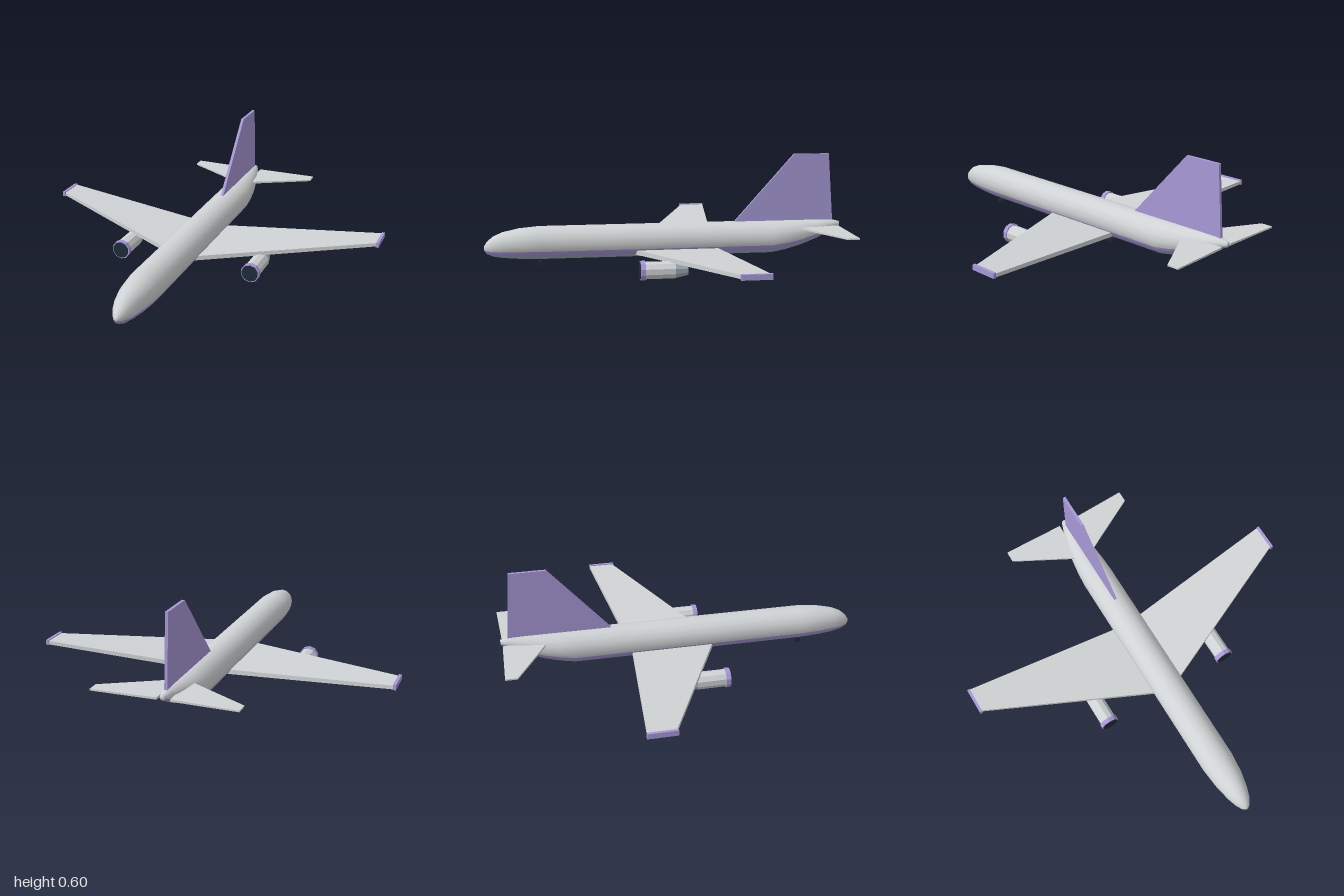
import * as THREE from 'three';
import { ConvexGeometry } from 'three/addons/geometries/ConvexGeometry.js';

function material(name, color, extra = {}) {
  const m = new THREE.MeshStandardMaterial({ color, ...extra });
  m.name = name;
  return m;
}

// Fuselage rings: z, bottom, top, half width
const RINGS = [
  [1.0, 0.1, 0.122, 0.008], [0.985, 0.08, 0.147, 0.026], [0.95, 0.065, 0.178, 0.046],
  [0.9, 0.056, 0.2, 0.063], [0.81, 0.049, 0.22, 0.082], [0.7, 0.045, 0.23, 0.093],
  [0.3, 0.045, 0.23, 0.093], [-0.1, 0.045, 0.23, 0.093], [-0.6, 0.045, 0.23, 0.093],
  [-0.68, 0.06, 0.23, 0.088], [-0.77, 0.085, 0.23, 0.077], [-0.87, 0.122, 0.23, 0.055],
  [-0.95, 0.162, 0.228, 0.032], [-1.0, 0.187, 0.216, 0.014],
];
const SIDES = 16;

function fuselageGeometry() {
  const pos = [];
  for (const [z, bottom, top, w] of RINGS) {
    for (let i = 0; i < SIDES; i++) {
      const a = (i / SIDES) * Math.PI * 2;
      pos.push(w * Math.cos(a), (top + bottom) / 2 + ((top - bottom) / 2) * Math.sin(a), z);
    }
  }
  const noseTip = pos.length / 3;
  pos.push(0, 0.111, 1.0);
  const tailTip = noseTip + 1;
  pos.push(0, 0.2, -1.0);

  // Columns: upper hull, side stripes, belly
  const columns = [[14, 15, 0, 1, 2, 3, 4, 5, 6, 7, 8, 9].filter(i => i !== 14 && i !== 9), [9, 14], [10, 11, 12, 13]];
  const geo = new THREE.BufferGeometry();
  const index = [];
  columns.forEach((cols, m) => {
    const start = index.length;
    for (const i of cols) {
      const j = (i + 1) % SIDES;
      for (let r = 0; r < RINGS.length - 1; r++) {
        const a = r * SIDES + i, b = r * SIDES + j;
        index.push(a, a + SIDES, b, b, a + SIDES, b + SIDES);
      }
    }
    if (m === 0) {
      const last = (RINGS.length - 1) * SIDES;
      for (let i = 0; i < SIDES; i++) {
        const j = (i + 1) % SIDES;
        index.push(noseTip, i, j, tailTip, last + j, last + i);
      }
    }
    geo.addGroup(start, index.length - start, m);
  });
  geo.setAttribute('position', new THREE.Float32BufferAttribute(pos, 3));
  geo.setIndex(index);
  geo.computeVertexNormals();
  return geo;
}

// Tapered slab between two sections: [x, zFront, zBack, yBottom, yTop]
function slab(side, ...sections) {
  const pts = [];
  for (const [x, zf, zb, y0, y1] of sections)
    for (const z of [zf, zb]) for (const y of [y0, y1]) pts.push(new THREE.Vector3(side * x, y, z));
  return new ConvexGeometry(pts);
}

export function createModel() {
  const model = new THREE.Group();
  model.name = 'airliner';
  const hull = material('light grey', 0xd0d3d5);
  const purple = material('lavender', 0xa798d6);
  const steel = material('blue grey', 0xa3adba);
  const intake = material('dark navy', 0x1f2c3a);
  const rubber = material('tyre black', 0x22262e);

  const add = (name, geo, mat, parent = model) => {
    const mesh = new THREE.Mesh(geo, mat);
    mesh.name = name;
    parent.add(mesh);
    return mesh;
  };

  add('fuselage', fuselageGeometry(), [hull, purple, steel]);

  // Tail fin
  const finShape = new THREE.Shape([
    new THREE.Vector2(0.36, 0.19), new THREE.Vector2(0.73, 0.605),
    new THREE.Vector2(0.93, 0.605), new THREE.Vector2(0.962, 0.2),
  ]);
  const fin = new THREE.ExtrudeGeometry(finShape, { depth: 0.016, bevelEnabled: false });
  fin.translate(0, 0, -0.008).rotateY(Math.PI / 2);
  add('tailFin', fin, purple);

  // Along z: radii at front and back
  const tube = (rFront, rBack, zFront, zBack, sides = 10) =>
    new THREE.CylinderGeometry(rFront, rBack, zFront - zBack, sides)
      .rotateX(Math.PI / 2).translate(0, 0, (zFront + zBack) / 2).toNonIndexed();
  const flat = geo => { geo.computeVertexNormals(); return geo; };

  for (const side of [1, -1]) {
    const label = side > 0 ? 'left' : 'right';
    add(label + 'Wing', slab(side, [0, 0.2, -0.28, 0.062, 0.088], [0.974, -0.235, -0.378, 0.14, 0.16]), hull);
    add(label + 'WingTip', slab(side, [0.97, -0.226, -0.38, 0.137, 0.165], [0.986, -0.226, -0.38, 0.137, 0.165]), purple);
    add(label + 'Tailplane', slab(side, [0.035, -0.745, -0.99, 0.183, 0.195], [0.385, -0.935, -1, 0.185, 0.193]), hull);

    // Engine
    const engine = new THREE.Group();
    engine.name = label + 'Engine';
    engine.position.set(side * 0.386, 0.054, 0);
    add('nacelle', flat(tube(0.047, 0.047, 0.165, 0)), hull, engine);
    add('exhaustCone', flat(tube(0.047, 0.032, 0, -0.068)), steel, engine);
    add('intakeLip', flat(tube(0.053, 0.053, 0.182, 0.157)), purple, engine);
    add('intakeFan', flat(tube(0.047, 0.047, 0.185, 0.18)), intake, engine);
    model.add(engine);
  }

  // Landing gear: bogie x and wheel z positions
  const wheel = new THREE.CylinderGeometry(0.015, 0.015, 0.013, 10).rotateZ(Math.PI / 2);
  const bogies = [['nose', 0, [0.695]], ['centre', 0, [-0.17, -0.222]], ['left', 0.155, [-0.085, -0.14]], ['right', -0.155, [-0.085, -0.14]]];
  for (const [name, x, zs] of bogies) {
    const gear = new THREE.Group();
    gear.name = name + 'Gear';
    for (const z of zs)
      for (const dx of [-0.012, 0.012]) add('wheel', wheel, rubber, gear).position.set(x + dx, 0.021, z);
    model.add(gear);
  }
  return model;
}
